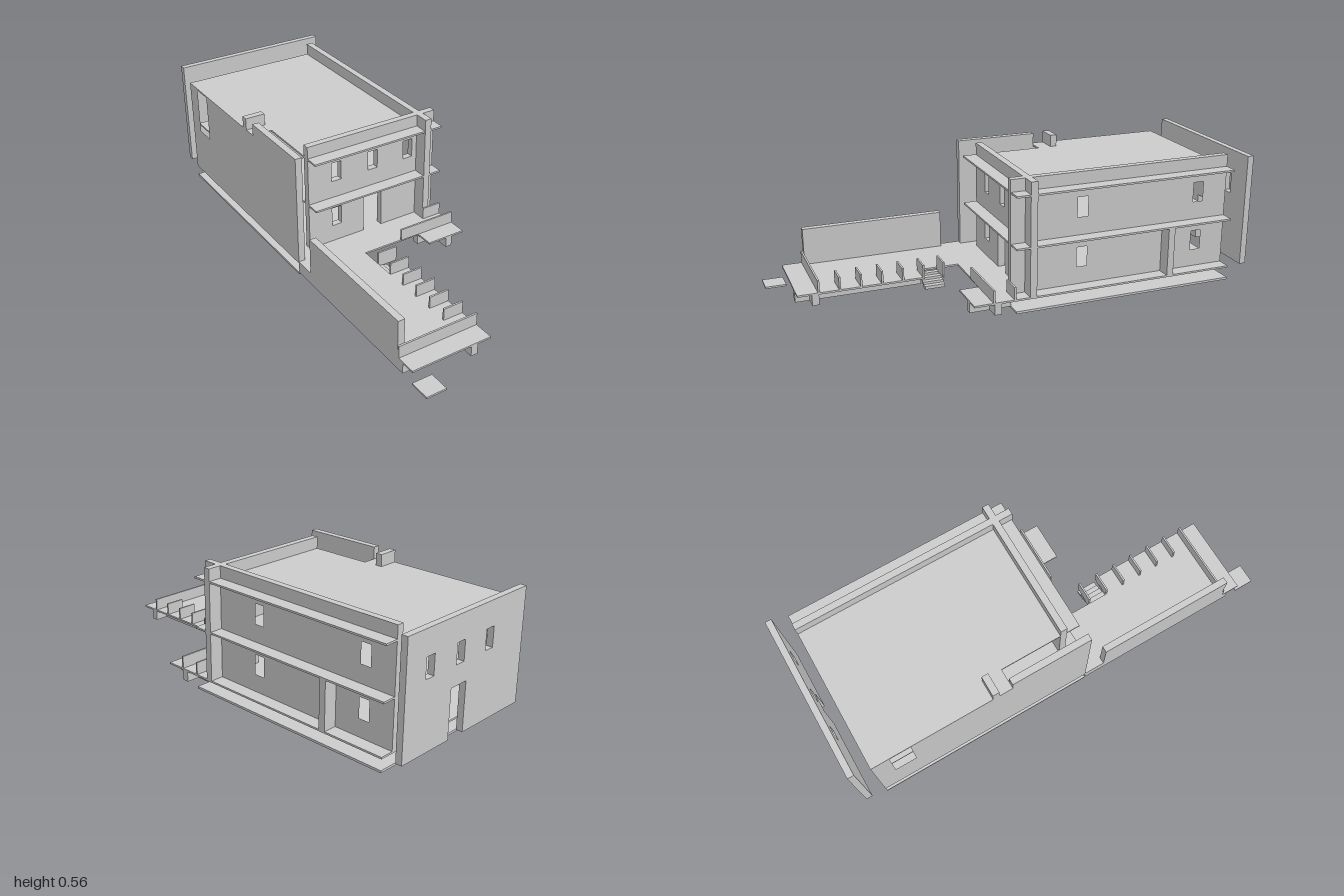
import * as THREE from 'three';

const material = new THREE.MeshStandardMaterial({ color: 0xcccccc, flatShading: true });

// Heights shared by the whole building
const BASE = 0.01, FLOOR = 0.064, MID = 0.282, ROOF = 0.502, TOP = 0.555, RAIL = 0.118;
const SLAB = 0.008;

export function createModel() {
  const group = new THREE.Group();

  function add(name, geometry) {
    const mesh = new THREE.Mesh(geometry, material);
    mesh.name = name;
    group.add(mesh);
    return mesh;
  }

  // Box given by its limits on each axis
  function box(name, x0, x1, y0, y1, z0, z1) {
    const mesh = add(name, new THREE.BoxGeometry(x1 - x0, y1 - y0, z1 - z0));
    mesh.position.set((x0 + x1) / 2, (y0 + y1) / 2, (z0 + z1) / 2);
    return mesh;
  }

  function polygon(points) {
    return new THREE.Shape(points.map(([x, y]) => new THREE.Vector2(x, y)));
  }

  function extrude(shape, depth) {
    return new THREE.ExtrudeGeometry(shape, { depth, bevelEnabled: false });
  }

  const rect = (a0, a1, b0, b1) => [[a0, b0], [a1, b0], [a1, b1], [a0, b1]];

  // Wall across x, with rectangular openings [x0, x1, y0, y1]
  function wallX(name, outline, openings, z0, z1) {
    const shape = polygon(outline);
    openings.forEach((o) => shape.holes.push(polygon(rect(...o))));
    add(name, extrude(shape, z1 - z0)).position.z = z0;
  }

  // Wall along z, with openings [z0, z1, y0, y1]
  function wallZ(name, outline, openings, x0, x1) {
    const flip = ([z, y]) => [-z, y];
    const shape = polygon(outline.map(flip));
    openings.forEach((o) => shape.holes.push(polygon(rect(...o).map(flip))));
    const mesh = add(name, extrude(shape, x1 - x0));
    mesh.rotation.y = Math.PI / 2;
    mesh.position.x = x0;
  }

  // Horizontal slab from an outline of [x, z] corners, top at the given height
  function slab(name, outline, top) {
    const geometry = extrude(polygon(outline.map(([x, z]) => [x, -z])), SLAB);
    geometry.rotateX(-Math.PI / 2);
    add(name, geometry).position.y = top - SLAB;
  }

  // Ground plate and loose stepping tile
  box('groundPlate', -0.363, 0.363, 0, BASE, -0.91, 0.09);
  box('steppingTile', -0.363, -0.273, 0, BASE - 0.002, 0.91, 1);

  // Raised floor with its terraces, cut out beside the steps
  slab('raisedFloor', [
    [-0.363, -0.91], [0.363, -0.91], [0.363, 0.272], [0.182, 0.272], [0.182, 0.185],
    [-0.091, 0.185], [-0.091, 0.365], [0, 0.365], [0, 0.91], [-0.363, 0.91],
  ], FLOOR);

  // Upper slabs, notched at the open stairwell
  for (const [name, top] of [['middleSlab', MID], ['roofSlab', ROOF]]) {
    slab(name, [
      [-0.333, -0.91], [0.363, -0.91], [0.363, 0.09], [-0.273, 0.09],
      [-0.273, -0.275], [-0.333, -0.275],
    ], top);
  }

  // Front and rear walls
  const upperWindows = [-0.16, 0.022, 0.203].map((x) => [x, x + 0.047, 0.36, 0.447]);
  const doorway = (left, right, bottom) => [
    [left, bottom], [0, bottom], [0, 0.275], [0.091, 0.275], [0.091, bottom],
    [right, bottom], [right, TOP], [left, TOP],
  ];
  wallX('frontWall', doorway(-0.273, 0.363, FLOOR),
    [...upperWindows, [-0.16, -0.113, 0.141, 0.228]], 0, 0.03);
  wallX('rearWall', doorway(-0.363, 0.363, FLOOR), upperWindows, -1, -0.972);

  // Left wall with windows on both floors, running past the front corner
  const sideWindows = [];
  for (const z of [-0.25, -0.797]) {
    for (const y of [0.141, 0.36]) sideWindows.push([z, z + 0.047, y, y + 0.087]);
  }
  wallZ('leftWall', rect(-0.91, 0.093, FLOOR, TOP), sideWindows, 0.273, 0.303);
  box('leftFin', 0.303, 0.363, FLOOR, MID - SLAB, -0.635, -0.605);

  // Right wall, higher beside the stairwell, with a tall upper opening
  wallZ('rightWall', [
    [-0.91, FLOOR], [0.09, FLOOR], [0.09, TOP], [-0.275, TOP], [-0.275, ROOF], [-0.91, ROOF],
  ], [[-0.83, -0.735, MID, ROOF - SLAB]], -0.363, -0.333);
  box('roofUpstand', -0.363, -0.273, ROOF, TOP, -0.365, -0.335);
  box('innerPartition', -0.333, -0.09, FLOOR, ROOF - SLAB, -0.365, -0.335);

  // Terrace walls and rails
  box('terraceWall', -0.363, -0.333, FLOOR, 0.228, 0.185, 0.815);
  box('terraceFrontRail', -0.363, 0, FLOOR, RAIL, 0.816, 0.824);
  box('entranceRail', 0.091, 0.363, FLOOR, RAIL, 0.182, 0.19);
  box('cornerRail', 0.273, 0.363, FLOOR, RAIL, 0.091, 0.099);
  for (let i = 0; i < 6; i++) {
    const z = 0.275 + i * 0.0905;
    box('terraceFin', -0.091, 0, i ? FLOOR : 0.05, RAIL, z, z + 0.008);
  }

  // Beams and posts below the terraces
  const under = FLOOR - SLAB;
  box('terraceSideBeam', -0.363, -0.333, BASE, under, 0.09, 0.85);
  box('terraceCrossBeam', -0.363, 0, BASE, under, 0.82, 0.85);
  box('terraceLongBeam', -0.091, -0.061, BASE, under, 0.365, 0.91);
  box('entranceCrossBeam', 0.182, 0.363, BASE, under, 0.155, 0.185);
  box('entranceLongBeam', 0.273, 0.303, BASE, under, 0.09, 0.272);
  for (const z of [0.27, 0.465, 0.66]) {
    box('terracePost', -0.24, -0.21, BASE, under, z - 0.015, z + 0.015);
  }

  // Steps down from the terrace
  for (let i = 0; i < 4; i++) {
    const x = -0.091 + i * 0.0228, y = 0.053 - i * 0.011;
    box('step', x, x + 0.0228, y - 0.014, y, 0.275, 0.365);
  }

  return group;
}
